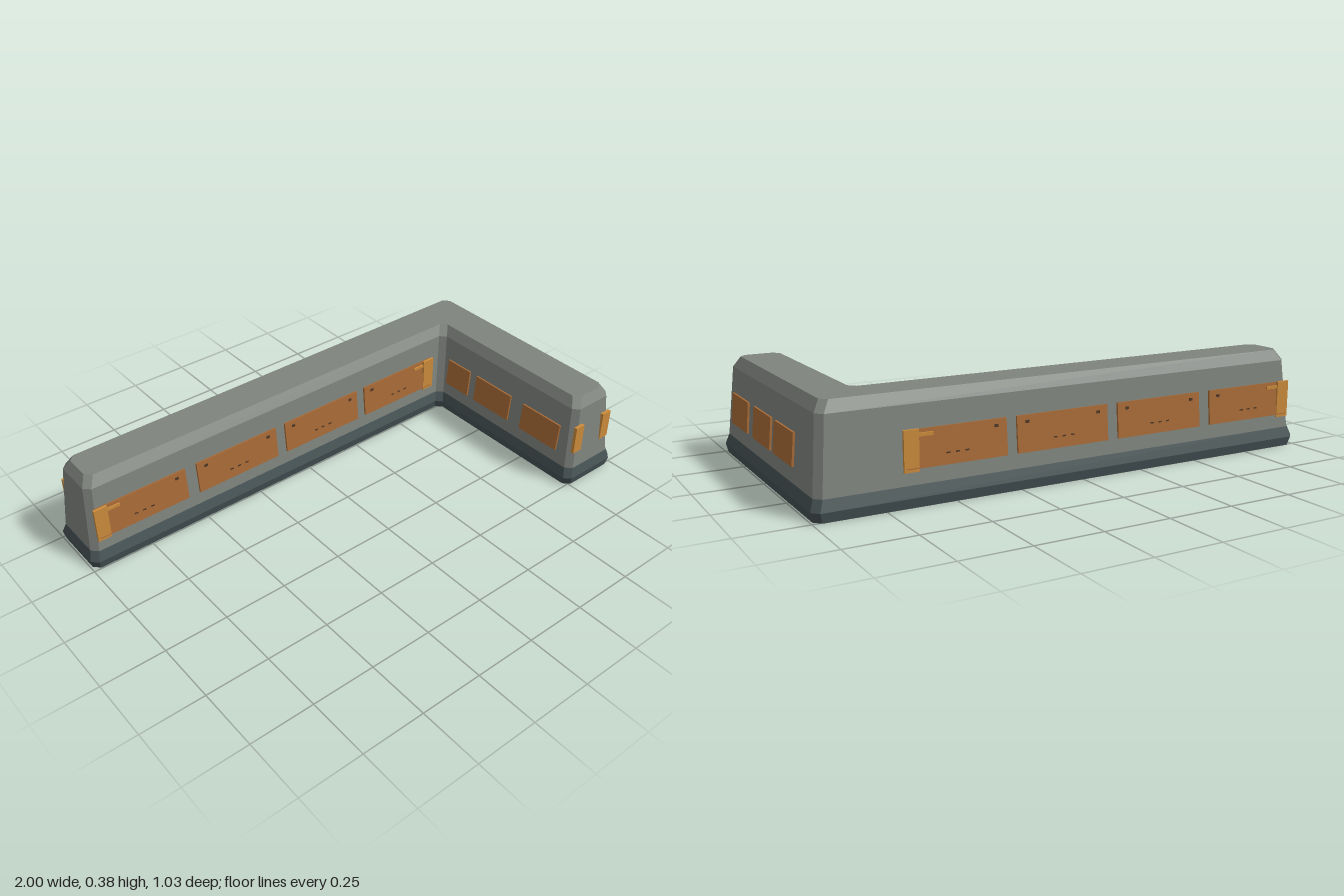
import * as THREE from 'three';

const mat = (name, color, side = THREE.FrontSide) => {
  const m = new THREE.MeshStandardMaterial({ color, side });
  m.name = name;
  return m;
};

// Corners of the L footprint, counter-clockwise from above: x, z, outward signs
const CORNERS = [
  [-1, -0.246, -1, 1], [0.727, -0.246, -1, 1], [0.727, 0.514, -1, 1],
  [1, 0.514, 1, 1], [1, -0.514, 1, -1], [-1, -0.514, -1, -1],
];
const CHAMFER = 0.024;

// Footprint moved inwards by an inset, with every corner cut off
function footprint(inset) {
  const c = CORNERS.map(([x, z, sx, sz]) => new THREE.Vector2(x - sx * inset, z - sz * inset));
  const loop = [];
  c.forEach((p, i) => {
    for (const q of [c[(i + 5) % 6], c[(i + 1) % 6]]) {
      loop.push(p.clone().add(q.clone().sub(p).setLength(CHAMFER)));
    }
  });
  return loop;
}

// Flat-faced shell through a stack of [y, inset] levels
function shell(levels) {
  const pos = [];
  for (let k = 0; k + 1 < levels.length; k++) {
    const [y0, i0] = levels[k], [y1, i1] = levels[k + 1];
    const lo = footprint(i0), hi = footprint(i1);
    lo.forEach((a, i) => {
      const j = (i + 1) % lo.length, b = lo[j], A = hi[i], B = hi[j];
      pos.push(a.x, y0, a.y, b.x, y0, b.y, B.x, y1, B.y);
      pos.push(a.x, y0, a.y, B.x, y1, B.y, A.x, y1, A.y);
    });
  }
  const g = new THREE.BufferGeometry();
  g.setAttribute('position', new THREE.Float32BufferAttribute(pos, 3));
  g.computeVertexNormals();
  return g;
}

// Horizontal cap, facing up (1) or down (-1)
function cap(y, inset, dir) {
  const pts = footprint(inset).map((p) => new THREE.Vector2(p.x, -dir * p.y));
  return new THREE.ShapeGeometry(new THREE.Shape(pts)).rotateX(-dir * Math.PI / 2).translate(0, y, 0);
}

export function createModel() {
  const model = new THREE.Group();
  model.name = 'cornerBarrier';
  const concrete = mat('concrete grey', 0x7f847e);
  const footing = mat('dark footing', 0x465254);
  const rust = mat('rust panel', 0xa86a36);
  const brass = mat('amber clip', 0xcc8c3c);
  const dark = mat('dark rivet', 0x4a3524);

  const add = (parent, name, geo, material, x = 0, y = 0, z = 0) => {
    const m = new THREE.Mesh(geo, material);
    m.name = name;
    m.position.set(x, y, z);
    parent.add(m);
    return m;
  };
  const box = (parent, name, material, size, at) =>
    add(parent, name, new THREE.BoxGeometry(...size), material, ...at);

  // Body: dark skirt below, sloping wall with a bevelled top above
  add(model, 'skirt', shell([[0, 0.008], [0.035, 0], [0.075, 0.013]]), footing);
  add(model, 'underside', cap(0, 0.008, -1), footing);
  add(model, 'wall', shell([[0.075, 0.013], [0.34, 0.036], [0.38, 0.06]]), concrete);
  add(model, 'wallTop', cap(0.38, 0.06, 1), concrete);

  // Sloping frame on a wall face: local x along it, y up it, z outwards
  const slope = Math.atan(0.023 / 0.265);
  const face = (name, x, z, turn) => {
    const holder = new THREE.Group(), g = new THREE.Group();
    holder.name = name;
    holder.position.set(x, 0.19, z);
    holder.rotation.y = turn;
    g.name = name + 'Slope';
    g.rotation.x = -slope;
    holder.add(g);
    model.add(holder);
    return g;
  };
  const IN = 0.023; // wall inset at panel height

  // Long wall panels, with rivets and a row of small slots
  const longSpans = [[-0.95, -0.57], [-0.52, -0.15], [-0.105, 0.265], [0.305, 0.68]];
  const longFaces = [['frontPanels', -0.246 - IN, 0, 1], ['backPanels', -0.514 + IN, Math.PI, -1]];
  for (const [name, z, turn, s] of longFaces) {
    const f = face(name, 0, z, turn);
    for (const [a, b] of longSpans) {
      const cx = s * (a + b) / 2, w = b - a;
      box(f, 'longPanel', rust, [w, 0.13, 0.012], [cx, 0.003, 0.002]);
      for (const e of [-1, 1]) {
        box(f, 'rivet', dark, [0.014, 0.01, 0.003], [cx + e * (w / 2 - 0.04), 0.045, 0.009]);
      }
      for (let i = -1; i <= 1; i++) {
        box(f, 'slot', dark, [0.014, 0.005, 0.002], [cx + i * 0.035, -0.022, 0.0085]);
      }
    }
    // Upright clips at both ends of the row, each with a short arm
    const out = z + s * 0.008;
    for (const [x, d] of [[-0.932, 1], [0.66, -1]]) {
      box(model, 'clip', brass, [0.054, 0.142, 0.01], [x, 0.19, out]);
      box(model, 'clipArm', brass, [0.055, 0.012, 0.008], [x + d * 0.052, 0.24, out - s * 0.003]);
    }
  }

  // Short wall panels, outer and inner
  const shortFaces = [
    ['outerPanels', 1 - IN, Math.PI / 2, -1, [[0.22, 0.42], [-0.05, 0.15], [-0.29, -0.09]]],
    ['innerPanels', 0.727 + IN, -Math.PI / 2, 1, [[0.22, 0.42], [-0.05, 0.15], [-0.22, -0.09]]],
  ];
  for (const [name, x, turn, s, spans] of shortFaces) {
    const f = face(name, x, 0, turn);
    for (const [a, b] of spans) {
      box(f, 'shortPanel', rust, [b - a, 0.115, 0.012], [s * (a + b) / 2, -0.002, 0.002]);
    }
  }

  // Clips on the end of the short arm
  for (const x of [0.779, 0.937]) {
    box(model, 'endClip', brass, [0.045, 0.12, 0.014], [x, 0.21, 0.491]);
  }
  return model;
}
